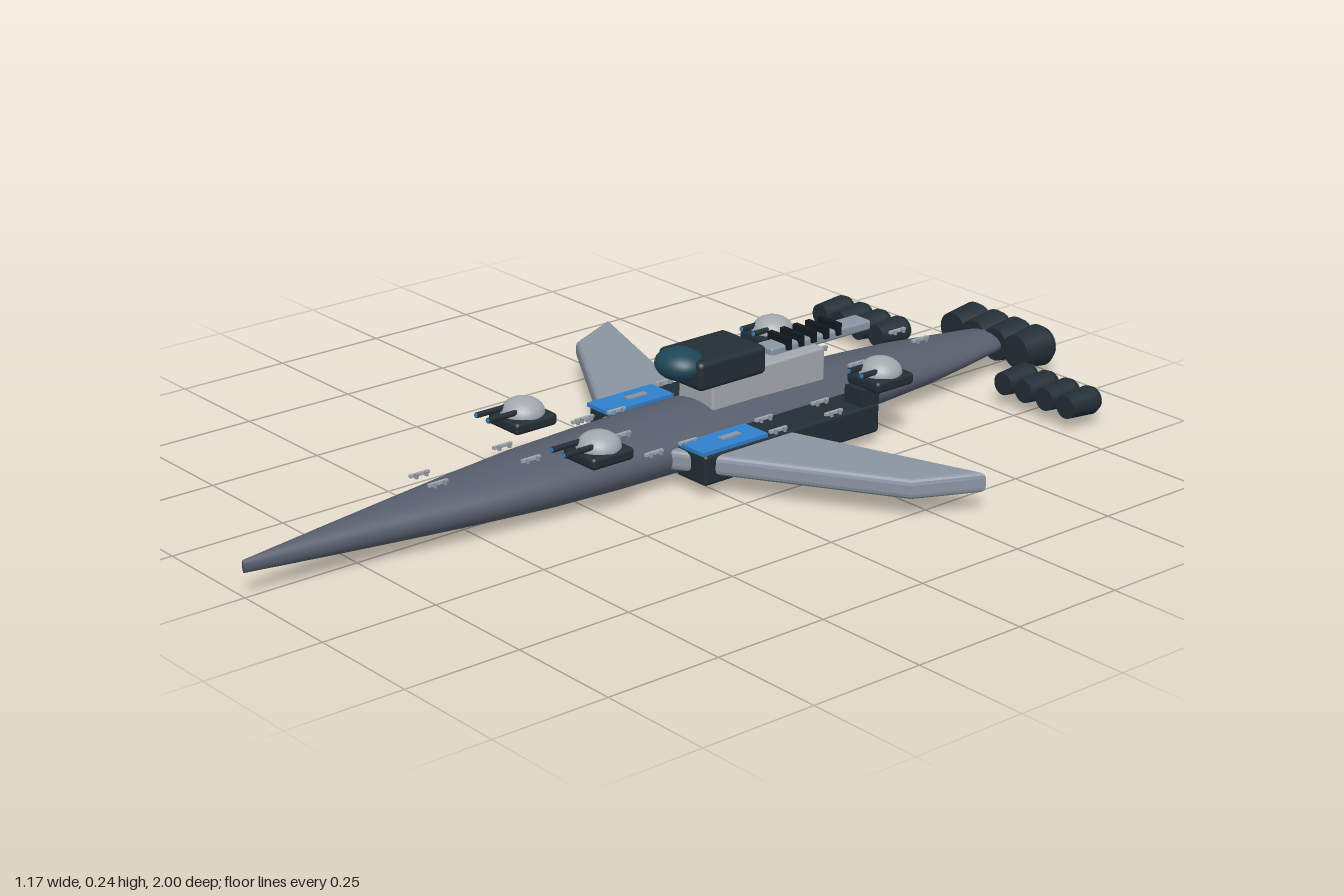
import * as THREE from 'three';
import { RoundedBoxGeometry } from 'three/addons/geometries/RoundedBoxGeometry.js';

const mat = (name, color) => Object.assign(new THREE.MeshStandardMaterial({ color }), { name });
const M = {
  hull: mat('slate hull', 0x565d6c),
  wing: mat('wing grey', 0x8a94a1),
  pale: mat('pale grey', 0xa3a8ae),
  dark: mat('dark armour', 0x222d35),
  black: mat('black', 0x12181d),
  blue: mat('bright blue', 0x2e80cc),
  glass: mat('teal glass', 0x1d4655),
};

function add(parent, name, geometry, material, x = 0, y = 0, z = 0) {
  const mesh = new THREE.Mesh(geometry, material);
  mesh.name = name;
  mesh.position.set(x, y, z);
  parent.add(mesh);
  return mesh;
}
function group(parent, name, x = 0, y = 0, z = 0) {
  const g = new THREE.Group();
  g.name = name;
  g.position.set(x, y, z);
  parent.add(g);
  return g;
}
const box = (w, h, d) => new THREE.BoxGeometry(w, h, d);
const rounded = (w, h, d, r) => new RoundedBoxGeometry(w, h, d, 3, r);
// cylinder along z: first radius at the front (+z) end
const rod = (rFront, rBack, len, n = 24) =>
  new THREE.CylinderGeometry(rFront, rBack, len, n).rotateX(Math.PI / 2);

// Spindle hull lofted through elliptical sections [z, half width, half height]
function hullGeometry() {
  const sections = [
    [-0.96, 0, 0], [-0.96, 0.042, 0.019], [-0.9, 0.055, 0.023], [-0.8, 0.074, 0.031],
    [-0.68, 0.09, 0.042], [-0.55, 0.099, 0.05], [-0.4, 0.105, 0.057], [-0.2, 0.108, 0.062],
    [0, 0.108, 0.063], [0.18, 0.106, 0.06], [0.34, 0.099, 0.055], [0.5, 0.08, 0.047],
    [0.65, 0.056, 0.039], [0.8, 0.034, 0.029], [0.92, 0.016, 0.02], [1, 0.005, 0.013], [1, 0, 0],
  ];
  const n = 40, pos = [], index = [];
  sections.forEach(([z, rx, ry], i) => {
    for (let j = 0; j < n; j++) {
      const a = (j / n) * Math.PI * 2;
      pos.push(rx * Math.cos(a), 0.066 + ry * Math.sin(a), z);
      if (i === sections.length - 1) continue;
      const p = i * n + j, q = i * n + (j + 1) % n;
      index.push(p, q, p + n, q, q + n, p + n);
    }
  });
  const g = new THREE.BufferGeometry();
  g.setAttribute('position', new THREE.Float32BufferAttribute(pos, 3));
  g.setIndex(index);
  g.computeVertexNormals();
  return g;
}

// Swept wing plate with softened edges
function wingGeometry(s) {
  const shape = new THREE.Shape(
    [[0.05, 0.1], [0.18, 0.02], [0.52, -0.19], [0.583, -0.33], [0.2, -0.2], [0.05, -0.15]]
      .map(([x, z]) => new THREE.Vector2(s * x, z)));
  return new THREE.ExtrudeGeometry(shape, {
    depth: 0.019, bevelThickness: 0.012, bevelSize: 0.012, bevelOffset: -0.012, bevelSegments: 3,
  }).rotateX(Math.PI / 2);
}

// Row of four thrusters facing backward
function engineRow(parent, name, x, y, z, spacing, r, len) {
  const row = group(parent, name, x, y, z);
  for (let i = 0; i < 4; i++) {
    const e = group(row, 'thruster', (i - 1.5) * spacing, 0, 0);
    add(e, 'thrusterBody', rod(r * 0.8, r, len * 0.78), M.dark, 0, 0, -len * 0.39);
    add(e, 'thrusterCollar', rod(r, r * 0.84, len * 0.14), M.dark, 0, 0, -len * 0.85);
    add(e, 'thrusterRim', new THREE.TorusGeometry(r * 0.7, r * 0.13, 8, 28), M.pale, 0, 0, -len * 0.92);
    add(e, 'thrusterThroat', rod(r * 0.64, r * 0.64, 0.004), M.black, 0, 0, -len * 0.93);
    add(e, 'thrusterGlow', rod(r * 0.45, r * 0.45, 0.006), M.blue, 0, 0, -len * 0.95);
  }
}

// Twin-barrel domed turret
function turret(parent, x, z, reach) {
  const t = group(parent, 'turret', x, 0.125, z);
  add(t, 'turretBase', rounded(0.096, 0.026, 0.104, 0.009), M.dark, 0, 0.013, 0);
  const dome = add(t, 'turretDome', new THREE.SphereGeometry(0.045, 28, 14), M.pale, 0, 0.026, 0);
  dome.scale.y = 0.72;
  for (const s of [-1, 1]) {
    add(t, 'barrel', rod(0.006, 0.006, reach, 10), M.dark, s * 0.019, 0.038, reach / 2);
    add(t, 'muzzle', rod(0.005, 0.005, 0.002, 10), M.blue, s * 0.019, 0.038, reach + 0.001);
  }
}

// Small deck fitting: a thin bar with two studs
function fitting(parent, x, y, z) {
  const f = group(parent, 'deckFitting', x, y, z);
  add(f, 'bar', box(0.007, 0.006, 0.045), M.pale);
  for (const s of [-1, 1])
    add(f, 'stud', new THREE.CylinderGeometry(0.004, 0.004, 0.009, 8), M.wing, 0.007, 0, s * 0.012);
}

export function createModel() {
  const model = new THREE.Group();
  model.name = 'spaceship';
  add(model, 'hull', hullGeometry(), M.hull);

  for (const s of [-1, 1]) {
    const side = s > 0 ? 'left' : 'right';
    add(model, side + 'Wing', wingGeometry(s), M.wing, 0, 0.075, 0);

    // Side armour block with blue deck panel
    add(model, side + 'SideBlock', rounded(0.09, 0.065, 0.47, 0.008), M.dark, s * 0.138, 0.06, -0.19);
    add(model, side + 'BluePanel', box(0.072, 0.008, 0.17), M.blue, s * 0.146, 0.097, -0.035);
    add(model, side + 'PanelSlot', box(0.015, 0.004, 0.05), M.wing, s * 0.146, 0.102, -0.05);
    for (const [x, z] of [[0.115, 0.12], [0.112, 0.03], [0.178, -0.15], [0.112, -0.17], [0.178, -0.3], [0.115, -0.32]])
      fitting(model, s * x, 0.1, z);

    // Deck fittings along the spine
    for (const [x, z] of [[0.035, -0.68], [0.058, -0.475], [0.058, 0.155], [0.045, 0.37], [0.03, 0.58]])
      fitting(model, s * x, 0.13, z);

    turret(model, s * 0.12, 0.262, 0.1);
    turret(model, s * 0.166, -0.44, 0.07);
    // Short post carrying the rear turret
    add(model, side + 'TurretPost', box(0.05, 0.04, 0.05), M.dark, s * 0.155, 0.108, -0.4);
    engineRow(model, side + 'EngineRow', s * 0.285, 0.053, -0.77, 0.06, 0.031, 0.09);
  }
  engineRow(model, 'mainEngineRow', 0, 0.065, -0.908, 0.064, 0.046, 0.092);

  // Command tower
  const tower = group(model, 'commandTower');
  add(tower, 'towerBase', rounded(0.108, 0.075, 0.305, 0.006), M.pale, 0, 0.148, -0.237);
  add(tower, 'bridge', rounded(0.136, 0.062, 0.178, 0.012), M.dark, 0, 0.202, -0.129);
  add(tower, 'bridgeDome', new THREE.SphereGeometry(1, 32, 18), M.glass, 0, 0.215, -0.044)
    .scale.set(0.056, 0.033, 0.049);

  // Ribbed rail running aft of the bridge
  add(tower, 'rail', rounded(0.05, 0.022, 0.278, 0.006), M.wing, 0, 0.19, -0.407);
  for (let i = 0; i < 5; i++)
    add(tower, 'railRib', box(0.062, 0.026, 0.012), M.black, 0, 0.203, -0.312 - i * 0.0345);

  return model;
}
